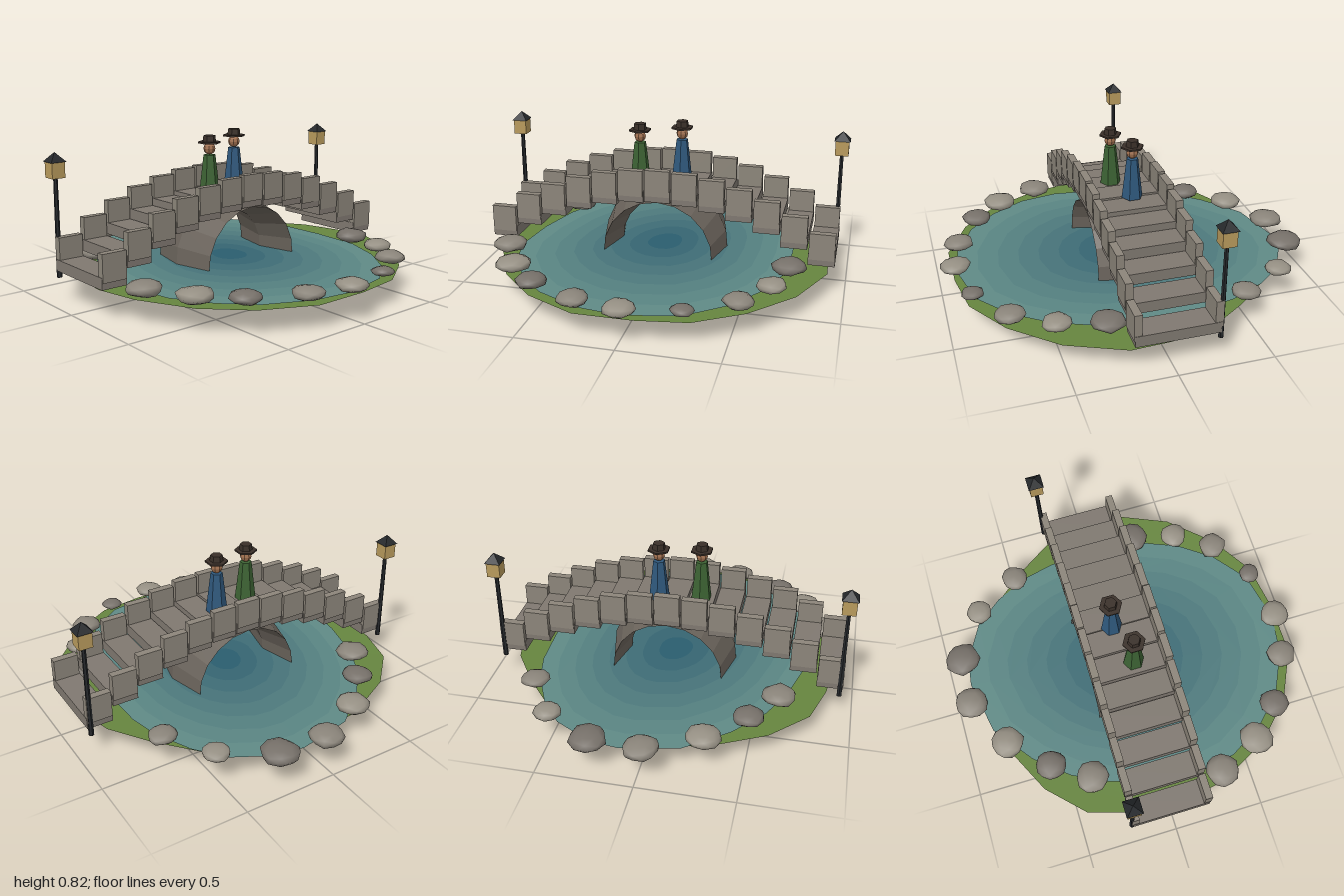
import * as THREE from 'three';
import { mergeVertices } from 'three/addons/utils/BufferGeometryUtils.js';

const BRIDGE_Z = -0.018;
const mat = (color, extra = {}) => new THREE.MeshStandardMaterial({ color, ...extra });
const flat = (color) => mat(color, { flatShading: true });

function add(parent, name, geometry, material, x = 0, y = 0, z = 0) {
  const mesh = new THREE.Mesh(geometry, material);
  mesh.name = name;
  mesh.position.set(x, y, z);
  parent.add(mesh);
  return mesh;
}

function group(parent, name, x = 0, y = 0, z = 0) {
  const g = new THREE.Group();
  g.name = name;
  g.position.set(x, y, z);
  parent.add(g);
  return g;
}

function seeded(seed) {
  return () => {
    seed = (seed * 16807) % 2147483647;
    return seed / 2147483647;
  };
}

// Outlines as [x, z]
const GRASS = [
  [0, -0.82], [0.3, -0.78], [0.52, -0.66], [0.7, -0.45], [0.84, -0.24], [0.9, 0], [0.91, 0.21],
  [0.78, 0.51], [0.57, 0.74], [0.33, 0.89], [0.07, 0.93], [-0.23, 0.93], [-0.5, 0.8],
  [-0.7, 0.6], [-0.84, 0.32], [-0.89, 0.08], [-0.86, -0.22], [-0.79, -0.45], [-0.6, -0.64], [-0.3, -0.79],
];
const WATER = [
  [0.1, -0.89], [0.25, -0.87], [0.45, -0.76], [0.57, -0.61], [0.66, -0.42], [0.7, -0.25], [0.71, 0],
  [0.69, 0.3], [0.6, 0.52], [0.47, 0.7], [0.28, 0.85], [0, 0.91], [-0.22, 0.88], [-0.45, 0.77],
  [-0.6, 0.62], [-0.72, 0.42], [-0.76, 0.2], [-0.73, -0.05], [-0.66, -0.3], [-0.57, -0.48],
  [-0.42, -0.66], [-0.2, -0.83],
];
// Stones as [x, z, radius]
const STONES = [
  [-0.62, -0.37, 0.09], [-0.49, -0.57, 0.083], [-0.295, -0.77, 0.092], [-0.015, -0.905, 0.093],
  [0.25, -0.895, 0.097], [0.505, -0.735, 0.073], [0.657, -0.485, 0.077], [0.715, 0.265, 0.092],
  [0.657, 0.505, 0.078], [0.525, 0.71, 0.08], [0.288, 0.863, 0.06], [-0.003, 0.915, 0.082],
  [-0.245, 0.868, 0.082], [-0.51, 0.728, 0.083], [-0.672, 0.562, 0.095], [-0.793, 0.325, 0.092],
];

// Shallow dish: a fan from a sunken centre to the rim
function dish(outline, rimY, centreY) {
  const pos = [0, centreY, 0];
  const index = [];
  outline.forEach(([x, z], i) => {
    pos.push(x, rimY, z);
    index.push(0, 1 + ((i + 1) % outline.length), 1 + i);
  });
  const g = new THREE.BufferGeometry();
  g.setAttribute('position', new THREE.Float32BufferAttribute(pos, 3));
  g.setIndex(index);
  g.computeVertexNormals();
  return g;
}

// Flat band of an outline between two scales
function band(outline, inner, outer) {
  const points = (s) => outline.map(([x, z]) => new THREE.Vector2(x * s, -z * s));
  const shape = new THREE.Shape(points(outer));
  if (inner > 0) shape.holes.push(new THREE.Path(points(inner)));
  return new THREE.ShapeGeometry(shape).rotateX(-Math.PI / 2);
}

function stoneGeometry(radius, rand) {
  let g = new THREE.IcosahedronGeometry(1, 1);
  g.deleteAttribute('normal');
  g.deleteAttribute('uv');
  g = mergeVertices(g, 1e-3);
  const p = g.attributes.position;
  for (let i = 0; i < p.count; i++) {
    const s = radius * (0.9 + 0.17 * rand());
    p.setXYZ(i, p.getX(i) * s, p.getY(i) * s * 0.42, p.getZ(i) * s);
  }
  g.computeVertexNormals();
  return g;
}

function buildPond(root) {
  const pond = group(root, 'pond');
  add(pond, 'grassBank', dish(GRASS, 0.132, 0.106), mat(0x66853f, { side: THREE.DoubleSide }));

  // Water bands, deep in the middle and pale at the edge
  const deep = new THREE.Color(0x2a5d6e);
  const pale = new THREE.Color(0x5f8a86);
  const bands = 8;
  for (let i = 0; i < bands; i++) {
    const color = deep.clone().lerp(pale, i / (bands - 1));
    add(pond, 'water', band(WATER, i / bands, (i + 1) / bands), mat(color, { side: THREE.DoubleSide }), 0, 0.14, 0);
  }

  // Rim stones
  const rand = seeded(71);
  const tones = [0x8a847a, 0x77716a, 0x969084];
  STONES.forEach(([x, z, r], i) => {
    const stone = add(pond, 'rimStone', stoneGeometry(r, rand), mat(tones[i % 3]), x, 0.181, z);
    stone.rotation.y = rand() * 6.28;
  });
}

function buildBridge(root) {
  const bridge = group(root, 'bridge', 0, 0, BRIDGE_Z);
  const slab = new THREE.BoxGeometry(0.139, 0.06, 0.432);
  const block = new THREE.BoxGeometry(0.134, 0.143, 0.04);
  const slabMat = flat(0x7f7870);
  const blockMat = flat(0x8c857a);

  // Steps and parapet blocks follow a parabola
  for (let i = -6; i <= 6; i++) {
    const x = i * 0.1455;
    const drop = 0.272 * (i / 6) ** 2;
    add(bridge, 'step', slab, slabMat, x, 0.47 - drop, 0);
    for (const side of [-1, 1]) add(bridge, 'parapetBlock', block, blockMat, x, 0.545 - drop, side * 0.202);
  }

  // Arch: diamond-section ring stretched across the bridge
  const arc = Math.PI * 1.25;
  const ring = new THREE.TorusGeometry(0.3, 0.05, 4, 12, arc);
  ring.rotateZ((Math.PI - arc) / 2).scale(1, 1, 0.218 / 0.05);
  add(bridge, 'arch', ring, flat(0x6a635b), 0, 0.14, 0);
}

function buildLamp(root, x) {
  const lamp = group(root, 'lamp', x, 0, -0.237);
  const iron = flat(0x25282b);
  add(lamp, 'lampPost', new THREE.CylinderGeometry(0.011, 0.014, 0.52, 6), iron, 0, 0.39, 0);
  add(lamp, 'lantern', new THREE.BoxGeometry(0.072, 0.082, 0.072), flat(0xb89a5c), 0, 0.686, 0);
  const roof = new THREE.ConeGeometry(0.06, 0.048, 4).rotateY(Math.PI / 4);
  add(lamp, 'lanternRoof', roof, iron, 0, 0.75, 0);
}

function buildFigure(root, name, x, y, z, coat) {
  const figure = group(root, name, x, y, z);
  const felt = flat(0x3a3029);
  add(figure, 'coat', new THREE.CylinderGeometry(0.032, 0.058, 0.225, 6), flat(coat), 0, 0.1125, 0);
  add(figure, 'head', new THREE.SphereGeometry(0.032, 8, 6), flat(0xa0704f), 0, 0.258, 0);
  add(figure, 'hatBrim', new THREE.CylinderGeometry(0.061, 0.061, 0.009, 6), felt, 0, 0.291, 0);
  add(figure, 'hatCrown', new THREE.CylinderGeometry(0.032, 0.036, 0.034, 6), felt, 0, 0.311, 0);
}

export function createModel() {
  const root = new THREE.Group();
  root.name = 'gardenBridge';
  buildPond(root);
  buildBridge(root);
  for (const side of [-1, 1]) buildLamp(root, side * 0.926);
  buildFigure(root, 'greenCoatFigure', -0.14, 0.487, 0.008, 0x3c6233);
  buildFigure(root, 'blueCoatFigure', 0.08, 0.5, -0.05, 0x2f587c);
  return root;
}
